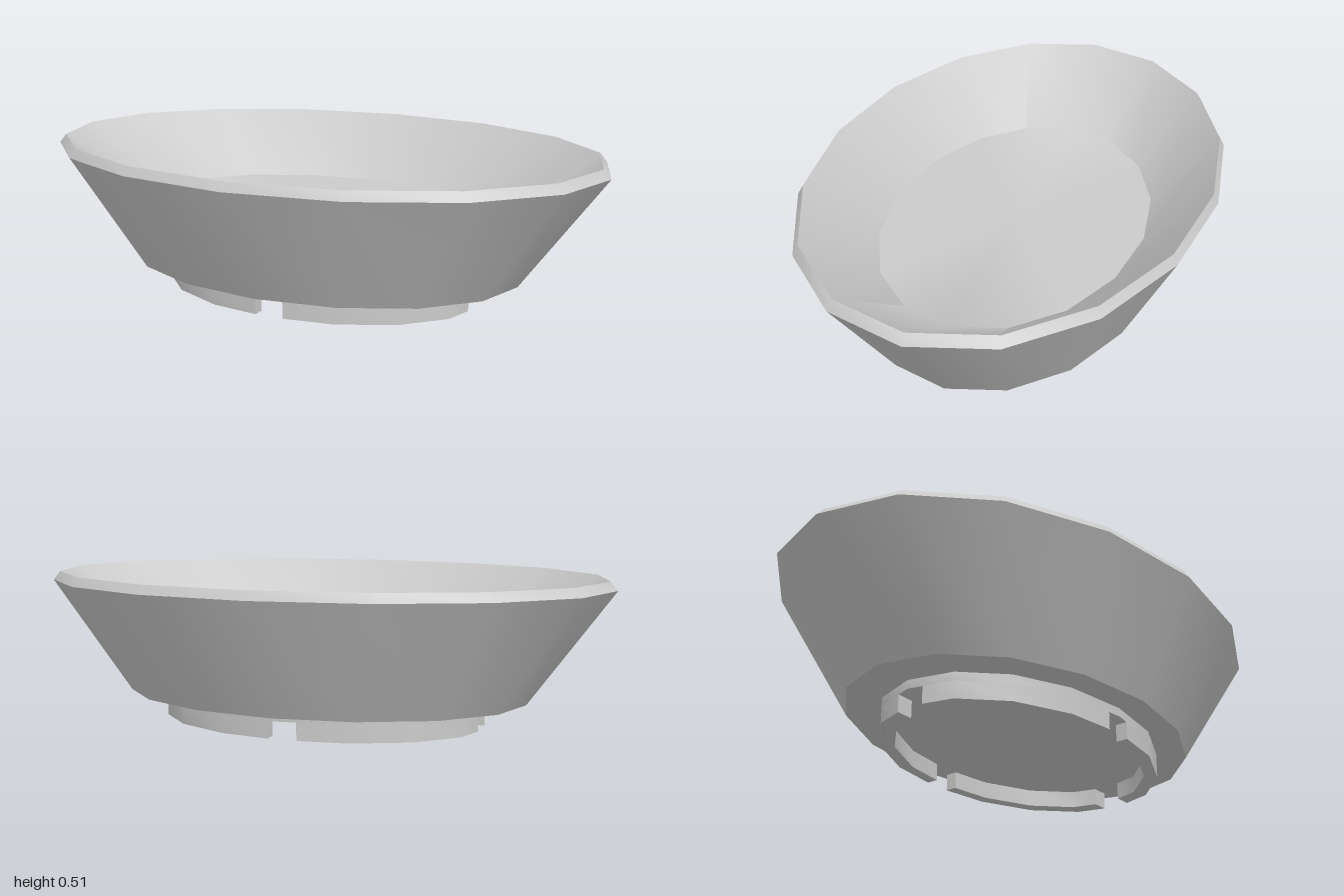
import * as THREE from 'three';
import { toCreasedNormals } from 'three/addons/utils/BufferGeometryUtils.js';

const SIDES = 16;
const DEPTH = 0.686; // oval: z radius relative to x radius
const CREASE = THREE.MathUtils.degToRad(39);
const NOTCH = 0.05; // half width of each foot notch
const FOOT_HEIGHT = 0.06;

// One quarter of the oval, trimmed back from both axes to leave the notches
function quarterOval(radius) {
  const pts = [];
  for (let k = 0; k <= SIDES / 4; k++) {
    const a = (k / SIDES) * Math.PI * 2;
    pts.push(new THREE.Vector2(radius * Math.cos(a), radius * DEPTH * Math.sin(a)));
  }
  const n = pts.length - 1;
  pts[0].lerp(pts[1], NOTCH / pts[1].y);
  pts[n].lerp(pts[n - 1], NOTCH / pts[n - 1].x);
  return pts;
}

export function createModel() {
  const group = new THREE.Group();
  const material = new THREE.MeshStandardMaterial({ color: 0xcccccc });

  // Bowl: underside, foot step, flared wall, bevelled rim, inner slope, floor
  const profile = [
    [0, 0.06], [0.58, 0.06], [0.58, 0.09], [0.715, 0.09],
    [1, 0.48], [0.975, 0.51], [0.655, 0.29], [0, 0.29],
  ].map(([r, y]) => new THREE.Vector2(r, y));
  const bowlGeometry = new THREE.LatheGeometry(profile, SIDES).scale(1, 1, DEPTH);
  const bowl = new THREE.Mesh(toCreasedNormals(bowlGeometry, CREASE), material);
  bowl.name = 'bowl';
  group.add(bowl);

  // Foot ring: four curved segments separated by drainage notches
  const foot = new THREE.Group();
  foot.name = 'footRing';
  const outline = [...quarterOval(0.58), ...quarterOval(0.52).reverse()];
  for (const sx of [1, -1]) {
    for (const sz of [1, -1]) {
      const shape = new THREE.Shape(outline.map((p) => new THREE.Vector2(p.x * sx, p.y * sz)));
      const geometry = new THREE.ExtrudeGeometry(shape, { depth: FOOT_HEIGHT, bevelEnabled: false });
      geometry.rotateX(Math.PI / 2).translate(0, FOOT_HEIGHT, 0);
      const segment = new THREE.Mesh(toCreasedNormals(geometry, CREASE), material);
      segment.name = 'footSegment';
      foot.add(segment);
    }
  }
  group.add(foot);
  return group;
}
